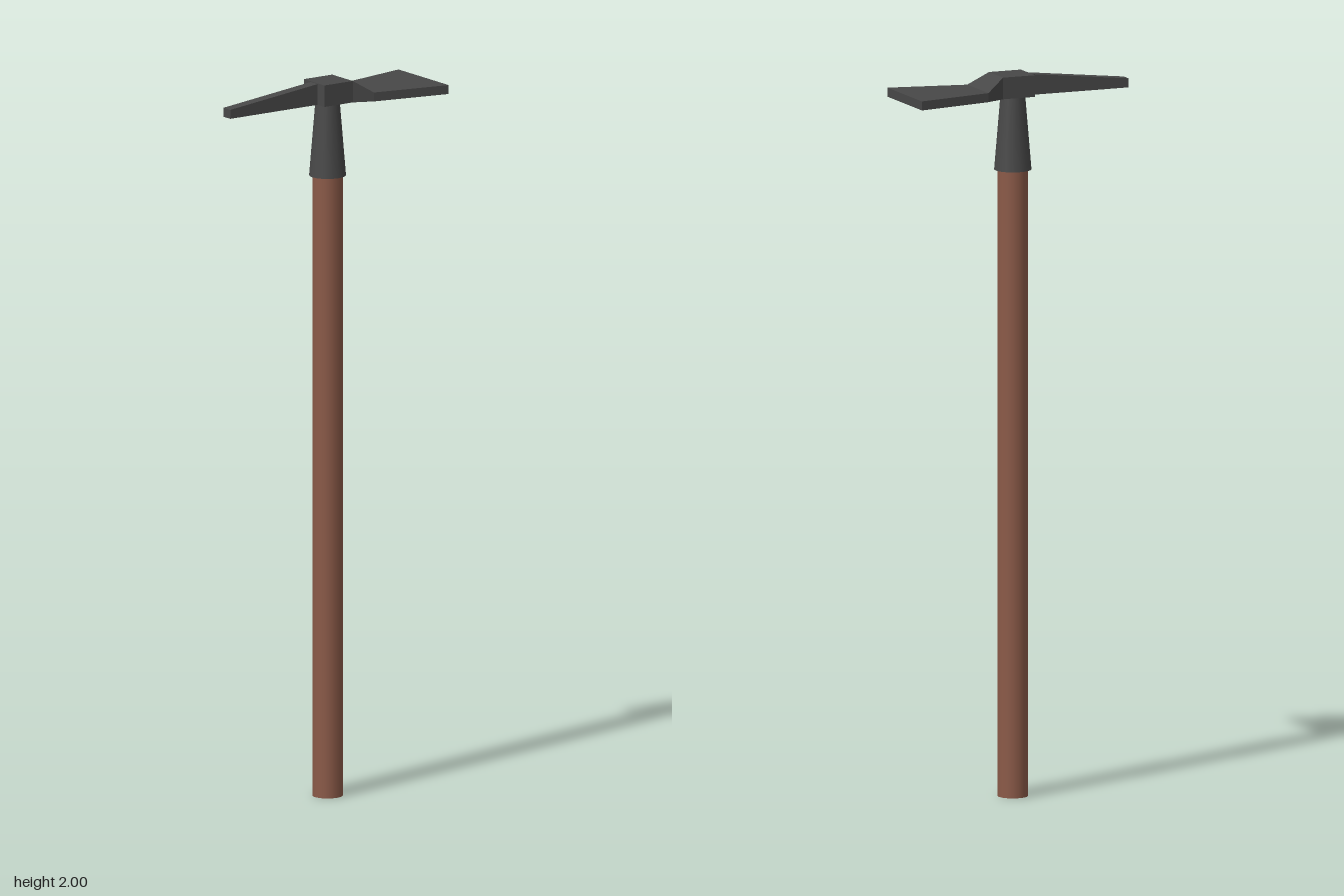
import * as THREE from 'three';

const wood = new THREE.MeshStandardMaterial({ color: 0x8b5a48 });
const metal = new THREE.MeshStandardMaterial({ color: 0x484848 });
const metalFlat = new THREE.MeshStandardMaterial({ color: 0x484848, flatShading: true });

const SHAFT_X = 0.008; // the shaft sits slightly off the middle of the head
const HEAD_BOTTOM = 1.94;

// Round shaft part between two heights
function shaftPart(name, rTop, rBottom, y0, y1, material) {
  const mesh = new THREE.Mesh(new THREE.CylinderGeometry(rTop, rBottom, y1 - y0, 16), material);
  mesh.name = name;
  mesh.position.set(SHAFT_X, (y0 + y1) / 2, 0);
  return mesh;
}

// Flat-bottomed bar along x through rectangular sections [x, top, half width]
function bar(name, sections) {
  const positions = [];
  const index = [];
  for (const [x, top, w] of sections) {
    positions.push(x, HEAD_BOTTOM, -w, x, HEAD_BOTTOM, w, x, top, w, x, top, -w);
  }
  for (let s = 0; s < sections.length - 1; s++) {
    for (let k = 0; k < 4; k++) {
      const a = s * 4 + k, b = s * 4 + (k + 1) % 4;
      index.push(a, a + 4, b, b, a + 4, b + 4);
    }
  }
  const e = (sections.length - 1) * 4;
  index.push(0, 1, 2, 0, 2, 3, e, e + 2, e + 1, e, e + 3, e + 2);
  const geometry = new THREE.BufferGeometry();
  geometry.setAttribute('position', new THREE.Float32BufferAttribute(positions, 3));
  geometry.setIndex(index);
  const flat = geometry.toNonIndexed();
  flat.computeVertexNormals();
  const mesh = new THREE.Mesh(flat, metalFlat);
  mesh.name = name;
  return mesh;
}

export function createModel() {
  const model = new THREE.Group();
  model.name = 'mattock';

  // Wooden handle and the tapered socket that grips it
  model.add(shaftPart('handle', 0.042, 0.042, 0, 1.8, wood));
  model.add(shaftPart('socket', 0.033, 0.051, 1.735, HEAD_BOTTOM + 0.01, metal));

  // Head: narrow pick on one side, eye block, flared blade on the other
  const head = new THREE.Group();
  head.name = 'head';
  head.add(bar('pick', [[-0.33, 1.965, 0.016], [-0.037, 1.998, 0.016]]));
  head.add(bar('eyeAndBlade', [
    [-0.037, 2, 0.048],
    [0.058, 2, 0.048],
    [0.112, 1.965, 0.072],
    [0.33, 1.965, 0.117],
  ]));
  model.add(head);
  return model;
}
